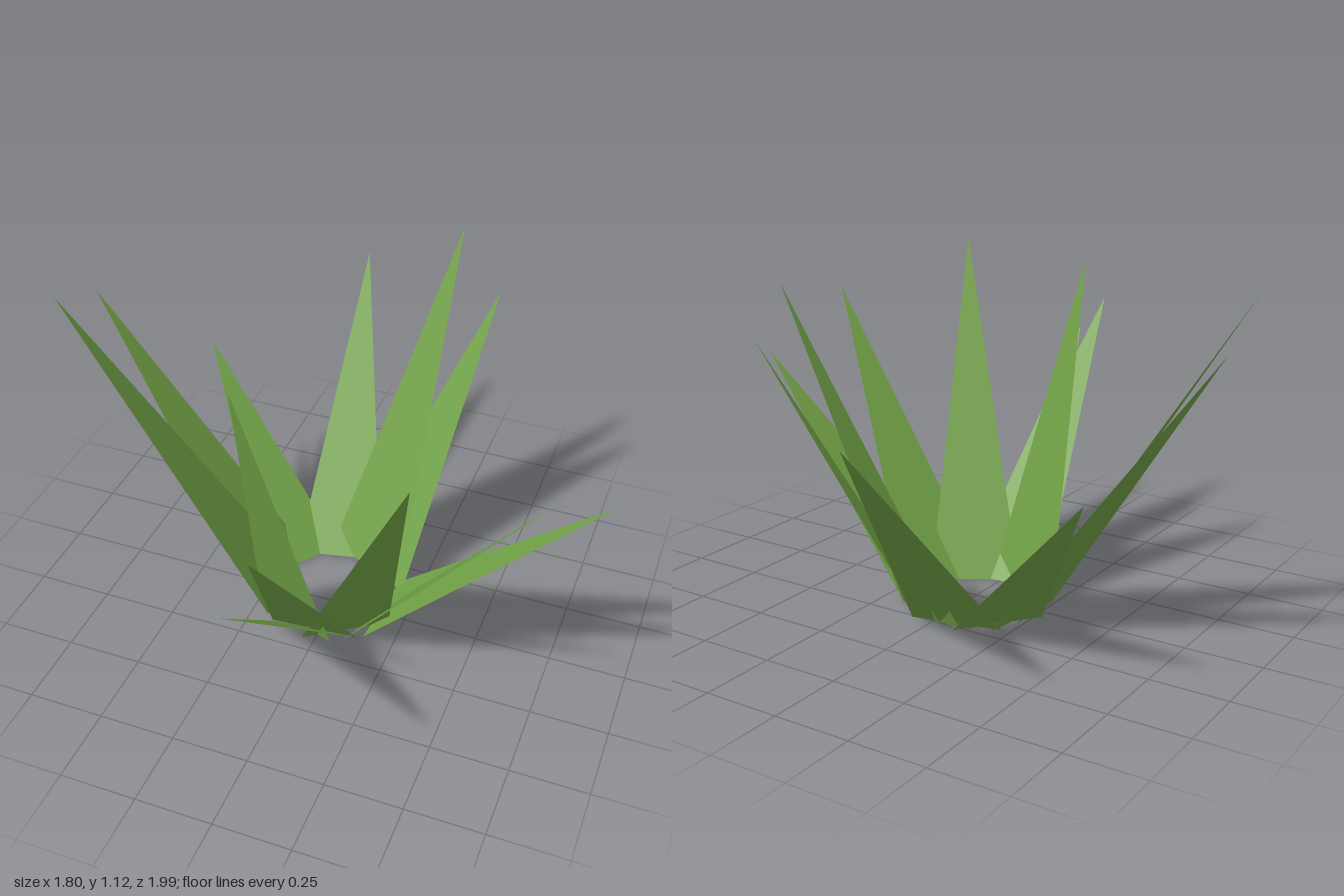
import * as THREE from 'three';

const RING = { x: -0.03, z: -0.04, radius: 0.19 }; // circle the blades grow from
const HALF_WIDTH = 0.15;

// Tip of every blade, going round the tuft
const TIPS = [
  [-0.25, 0.79, -1.0],
  [0.185, 1.125, -0.7],
  [0.335, 0.94, -0.65],
  [0.895, 0.71, 0.04],
  [0.78, 0.91, 0.31],
  [0.44, 1.08, 0.625],
  [0.068, 0.84, 0.99],
  [0.022, 0.78, 0.72],
  [-0.175, 1.08, 0.385],
  [-0.885, 1.08, 0.112],
  [-0.905, 0.95, -0.163],
  [-0.677, 0.59, -0.528],
];

// Flat triangle: base edge tangent to the ring, leaning outward to the tip
function bladeGeometry(tip) {
  const out = new THREE.Vector3(tip[0] - RING.x, 0, tip[2] - RING.z).normalize();
  const side = new THREE.Vector3(-out.z, 0, out.x).multiplyScalar(HALF_WIDTH);
  const base = new THREE.Vector3(RING.x, 0, RING.z).addScaledVector(out, RING.radius);
  const geometry = new THREE.BufferGeometry().setFromPoints([
    base.clone().add(side),
    new THREE.Vector3(...tip),
    base.clone().sub(side),
  ]);
  geometry.computeVertexNormals();
  return geometry;
}

export function createModel() {
  const group = new THREE.Group();
  group.name = 'grassTuft';
  const leafGreen = new THREE.MeshStandardMaterial({ color: 0x71a146, side: THREE.DoubleSide });
  leafGreen.name = 'leafGreen';

  TIPS.forEach((tip, i) => {
    const blade = new THREE.Mesh(bladeGeometry(tip), leafGreen);
    blade.name = `blade${i + 1}`;
    group.add(blade);
  });
  return group;
}
